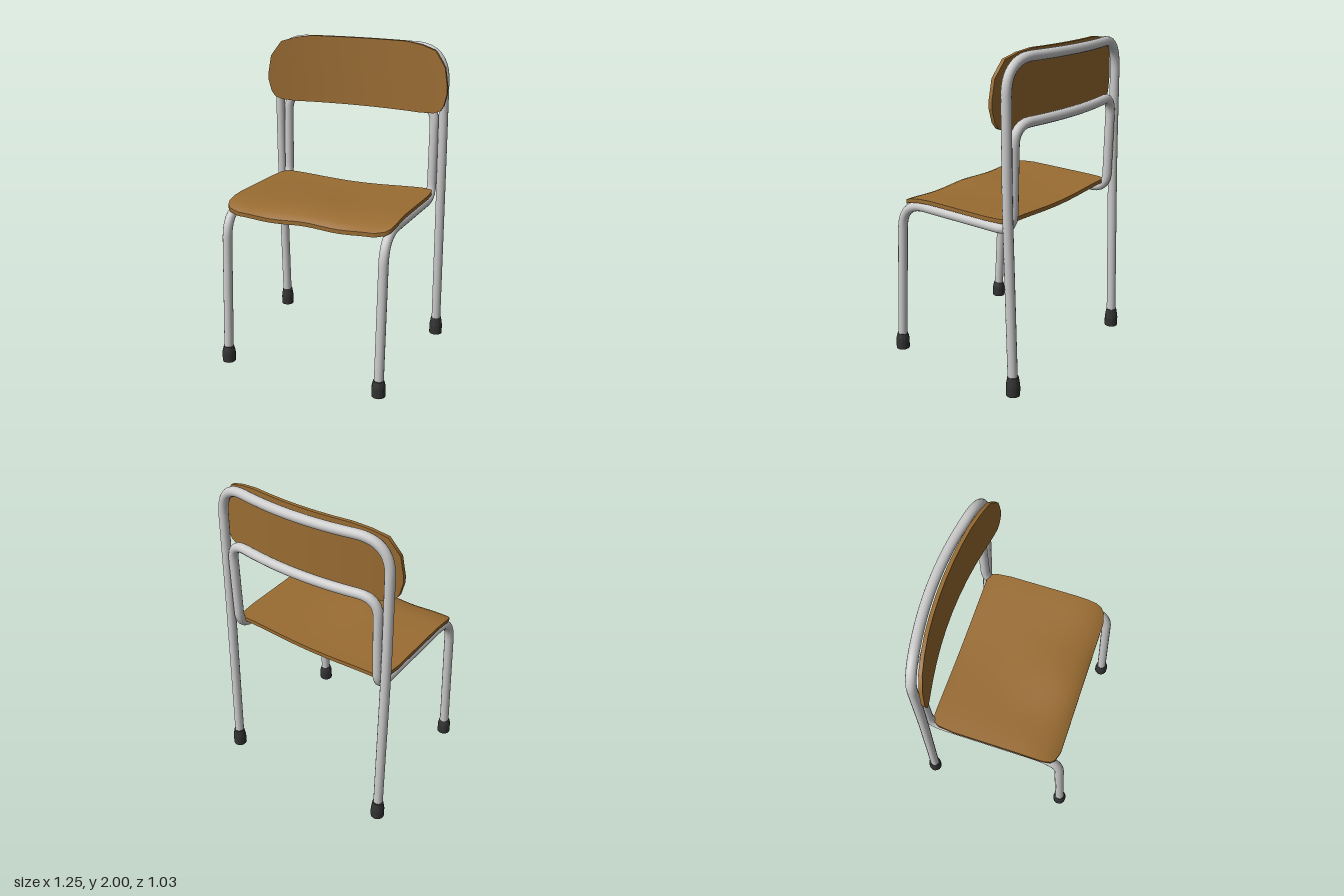
import * as THREE from 'three';

const steel = new THREE.MeshStandardMaterial({ color: 0xcccccc });
const wood = new THREE.MeshStandardMaterial({ color: 0x9a6c32 });
const rubber = new THREE.MeshStandardMaterial({ color: 0x333333 });

// Path through corner points [x, y, z, bend], each corner eased over its bend length
function bentPath(corners) {
  const path = new THREE.CurvePath();
  const pts = corners.map(([x, y, z]) => new THREE.Vector3(x, y, z));
  const toward = (a, b, d) => a.clone().add(b.clone().sub(a).setLength(d));
  let last = pts[0];
  for (let i = 1; i < pts.length - 1; i++) {
    const bend = corners[i][3];
    const start = toward(pts[i], pts[i - 1], bend);
    const end = toward(pts[i], pts[i + 1], bend);
    path.add(new THREE.LineCurve3(last, start));
    path.add(new THREE.QuadraticBezierCurve3(start, pts[i], end));
    last = end;
  }
  path.add(new THREE.LineCurve3(last, pts[pts.length - 1]));
  return path;
}

// Half of a symmetric tube, ending on the centre line, mirrored into a full loop
function frameTube(name, half) {
  const mirrored = half.slice(0, -1).reverse().map(([x, y, z, b]) => [-x, y, z, b]);
  const path = bentPath([...half, ...mirrored]);
  const mesh = new THREE.Mesh(new THREE.TubeGeometry(path, 180, 0.03, 14), steel);
  mesh.name = name;
  return mesh;
}

// Segmented unit box whose vertices are moved by a rule
function shapedPanel(name, segments, rule) {
  const geo = new THREE.BoxGeometry(1, 1, 1, ...segments);
  const pos = geo.attributes.position;
  for (let i = 0; i < pos.count; i++) {
    pos.setXYZ(i, ...rule(pos.getX(i), pos.getY(i), pos.getZ(i)));
  }
  geo.computeVertexNormals();
  const mesh = new THREE.Mesh(geo, wood);
  mesh.name = name;
  return mesh;
}

function createSeat() {
  // Rows from back to front: z, half width, top height
  const rows = [
    [-0.4, 0.49, 1.057], [-0.385, 0.53, 1.057], [-0.35, 0.547, 1.057], [-0.25, 0.557, 1.058],
    [-0.1, 0.557, 1.062], [0.05, 0.557, 1.066], [0.18, 0.557, 1.069], [0.27, 0.557, 1.064],
    [0.33, 0.554, 1.054], [0.37, 0.542, 1.04], [0.395, 0.515, 1.025], [0.412, 0.45, 1.012],
  ];
  return shapedPanel('seat', [24, 1, rows.length - 1], (x, y, z) => {
    const [rowZ, halfWidth, top] = rows[Math.round((z + 0.5) * (rows.length - 1))];
    const u = 2 * x;
    const front = THREE.MathUtils.smoothstep(rowZ, -0.2, 0.3);
    // Hollow at the back turning into two shallow thigh grooves at the front
    const dip = THREE.MathUtils.lerp(0.018 * (1 - u * u) ** 2, 0.011 * Math.sin(Math.PI * u) ** 2, front);
    return [u * halfWidth, top - dip + (y - 0.5) * 0.025, rowZ];
  });
}

function createBackrest() {
  // Columns from centre to end: x, bottom, top
  const half = [
    [0, 1.56, 2], [0.11, 1.56, 2], [0.22, 1.56, 2], [0.33, 1.56, 2], [0.44, 1.56, 1.985],
    [0.535, 1.567, 1.957], [0.58, 1.585, 1.895], [0.605, 1.62, 1.86], [0.625, 1.7, 1.74],
  ];
  const n = half.length - 1;
  return shapedPanel('backrest', [2 * n, 4, 1], (x, y, z) => {
    const k = Math.round(2 * x * n);
    const [w, bottom, top] = half[Math.abs(k)];
    const px = Math.sign(k) * w;
    const curve = -0.43 + 0.22 * px * px;
    return [px, THREE.MathUtils.lerp(bottom, top, y + 0.5), curve + z * 0.022];
  });
}

// Rubber foot with a recessed underside
function createFoot(name, x, z, height) {
  const profile = [
    [0, 0.02], [0.028, 0.02], [0.028, 0], [0.043, 0], [0.043, 0.06],
    [0.041, 0.075], [0.035, height - 0.008], [0.033, height], [0.0, height],
  ].map(([r, y]) => new THREE.Vector2(r, y));
  const geo = new THREE.LatheGeometry(profile, 14);
  const foot = new THREE.Mesh(geo.toNonIndexed(), rubber);
  foot.geometry.computeVertexNormals();
  foot.name = name;
  foot.position.set(x, 0, z);
  return foot;
}

export function createModel() {
  const chair = new THREE.Group();
  chair.name = 'chair';

  // Back legs rising into the upper backrest loop
  chair.add(frameTube('backLegFrame', [
    [0.578, 0.03, -0.464], [0.583, 1.2, -0.425, 0.2], [0.58, 1.965, -0.415, 0.2], [0, 1.965, -0.517, 0.36],
  ]));

  // Front legs, seat rails and the lower backrest loop
  chair.add(frameTube('frontLegFrame', [
    [0.522, 0.03, 0.469], [0.522, 1.012, 0.42, 0.18], [0.522, 0.99, -0.42, 0.11],
    [0.522, 1.605, -0.43, 0.12], [0, 1.605, -0.515, 0.38],
  ]));

  chair.add(createSeat(), createBackrest());

  for (const [side, s] of [['left', 1], ['right', -1]]) {
    chair.add(createFoot(`${side}FrontFoot`, s * 0.522, 0.468, 0.105));
    chair.add(createFoot(`${side}BackFoot`, s * 0.578, -0.464, 0.12));
  }
  return chair;
}
